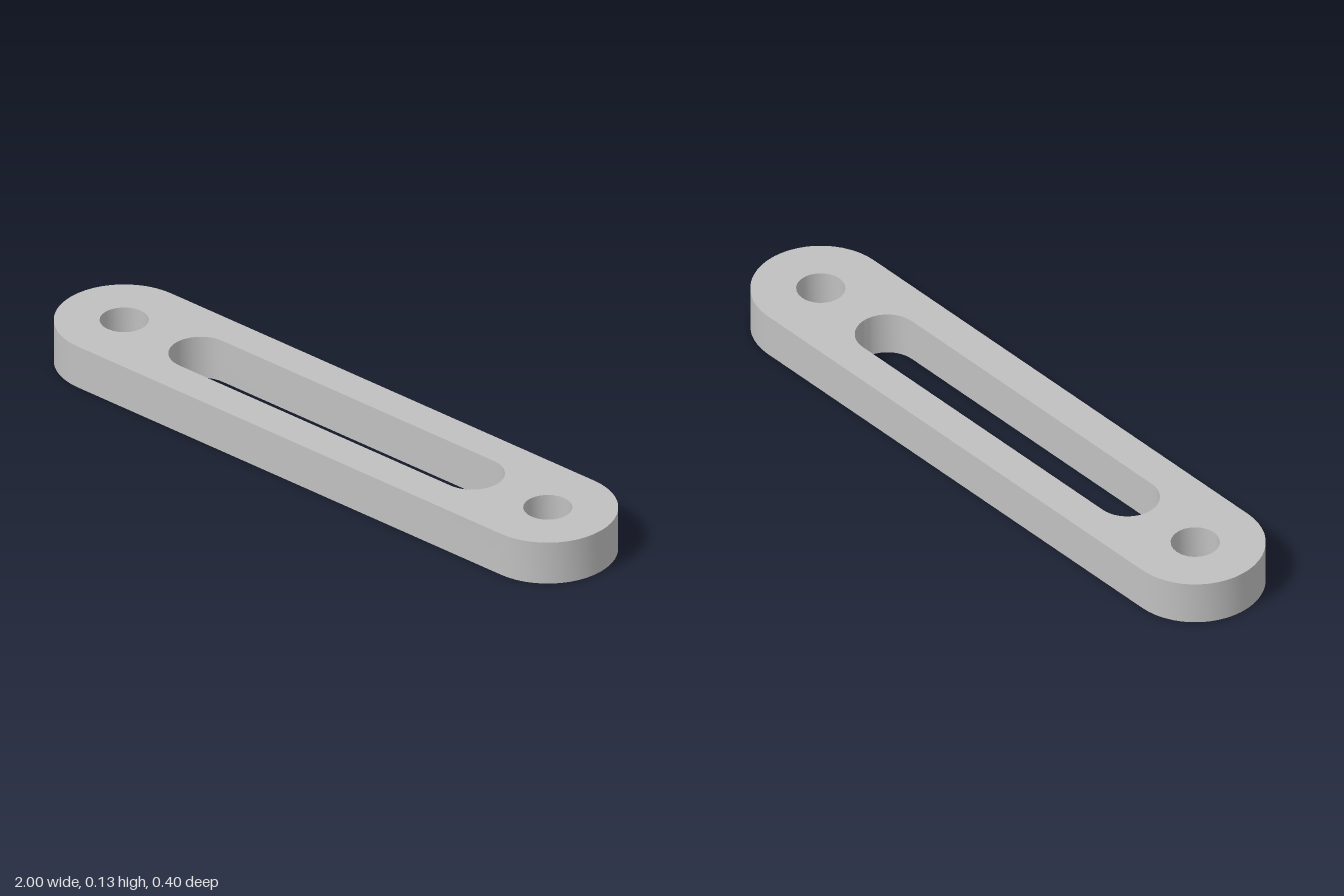
import * as THREE from 'three';
import { toCreasedNormals } from 'three/addons/utils/BufferGeometryUtils.js';

const HEIGHT = 0.134;

// Rounded-end outline: two half circles joined by straight sides
function stadium(target, halfLength, radius, cy = 0) {
  const c = halfLength - radius;
  target.absarc(c, cy, radius, -Math.PI / 2, Math.PI / 2, false);
  target.absarc(-c, cy, radius, Math.PI / 2, Math.PI * 1.5, false);
  target.closePath();
  return target;
}

export function createModel() {
  const group = new THREE.Group();
  group.name = 'slottedLink';

  const grey = new THREE.MeshStandardMaterial({ color: 0xc0c0c0 });
  grey.name = 'grey';

  // Outer plate outline
  const outline = stadium(new THREE.Shape(), 1, 0.2);

  // Long central slot
  outline.holes.push(stadium(new THREE.Path(), 0.605, 0.0925, 0.0025));

  // Round bolt hole at each end
  for (const x of [-0.8, 0.8]) {
    outline.holes.push(new THREE.Path().absarc(x, 0, 0.07, 0, Math.PI * 2, false));
  }

  // Extrude upwards, smoothing the curved walls and keeping the rims sharp
  let geometry = new THREE.ExtrudeGeometry(outline, { depth: HEIGHT, bevelEnabled: false, curveSegments: 12 });
  geometry.rotateX(-Math.PI / 2);
  geometry.clearGroups();
  geometry = toCreasedNormals(geometry, 0.7);

  const plate = new THREE.Mesh(geometry, grey);
  plate.name = 'linkPlate';
  group.add(plate);
  return group;
}
